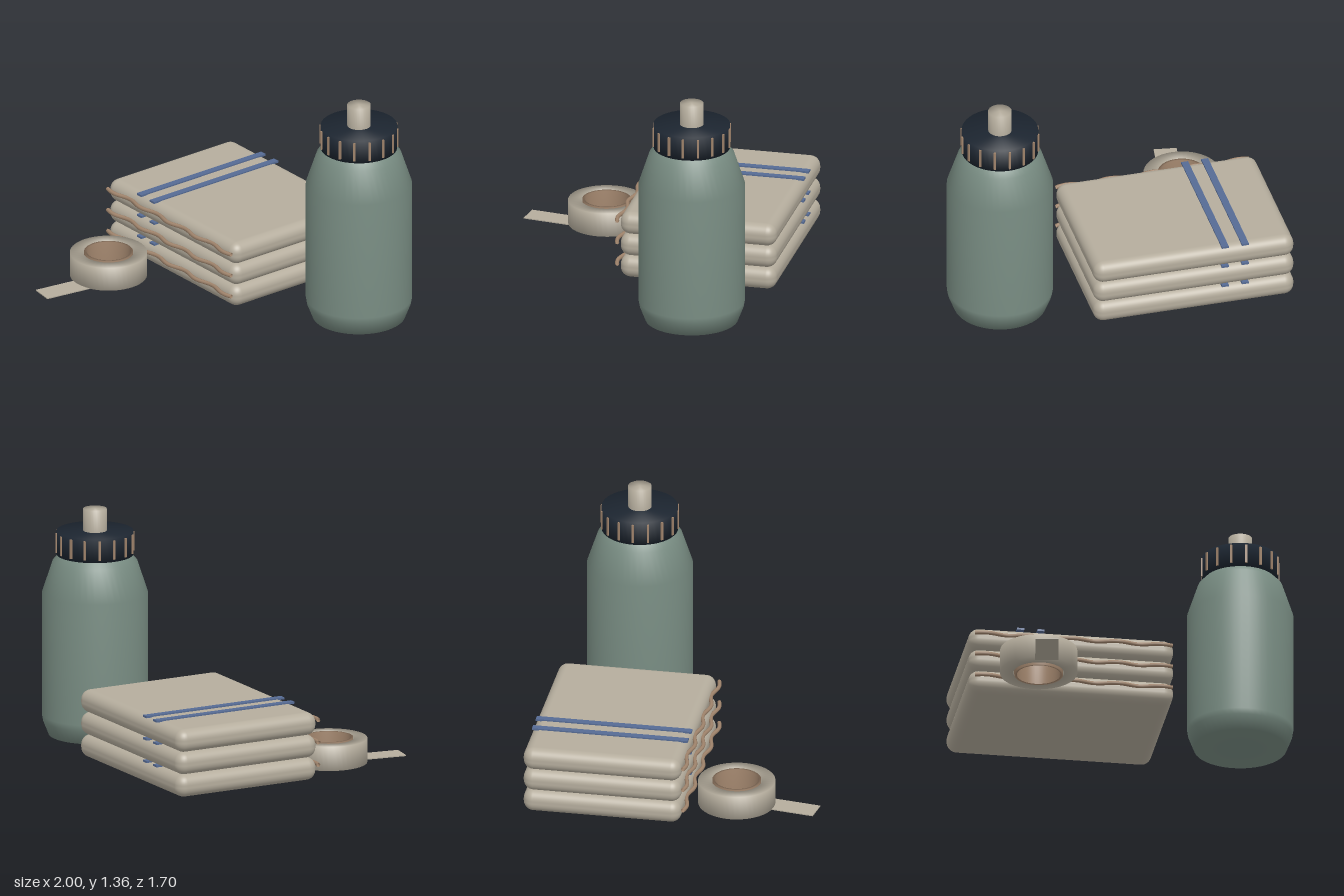
import * as THREE from 'three';
import { RoundedBoxGeometry } from 'three/addons/geometries/RoundedBoxGeometry.js';

const mat = (color) => new THREE.MeshStandardMaterial({ color, side: THREE.DoubleSide });
const cloth = mat(0xb5ad9d), sage = mat(0x788c82), navy = mat(0x1c2530);
const tan = mat(0xa0846c), blue = mat(0x566b94);

function add(parent, name, geometry, material, x = 0, y = 0, z = 0) {
  const mesh = new THREE.Mesh(geometry, material);
  mesh.name = name;
  mesh.position.set(x, y, z);
  parent.add(mesh);
  return mesh;
}

// Revolves [radius, height] pairs, listed from bottom to top
const lathe = (points, segments = 48) =>
  new THREE.LatheGeometry(points.map(([r, y]) => new THREE.Vector2(r, y)), segments);

function group(parent, name, x, z) {
  const g = new THREE.Group();
  g.name = name;
  g.position.set(x, 0, z);
  parent.add(g);
  return g;
}

function addBottle(model) {
  const bottle = group(model, 'bottle', 0.685, -0.465);
  add(bottle, 'bottleBody', lathe([
    [0, 0], [0.272, 0], [0.305, 0.085], [0.311, 0.12], [0.311, 0.85],
    [0.248, 1.04], [0.205, 1.085], [0.19, 1.1],
  ]), sage);
  add(bottle, 'cap', lathe([
    [0, 1.08], [0.224, 1.08], [0.224, 1.223], [0, 1.223],
  ]), navy);
  add(bottle, 'spout', lathe([
    [0.069, 1.21], [0.069, 1.355], [0, 1.355],
  ], 32), cloth);

  // Grip ribs around the cap
  const rib = new THREE.BoxGeometry(0.013, 0.115, 0.018);
  for (let i = 0; i < 16; i++) {
    const a = (i / 16) * Math.PI * 2;
    const mesh = add(bottle, 'capRib', rib, tan, Math.sin(a) * 0.223, 1.153, Math.cos(a) * 0.223);
    mesh.rotation.y = a;
  }
}

function addTowels(model) {
  const towels = group(model, 'towelStack', -0.395, -0.383);
  const body = new RoundedBoxGeometry(1.21, 0.136, 0.937, 5, 0.06);
  const stripe = new THREE.BoxGeometry(0.042, 0.012, 0.925);

  // Wavy hem along the front edge
  const wave = [];
  for (let i = 0; i <= 40; i++) {
    const t = i / 40;
    wave.push(new THREE.Vector3(-0.575 + 1.165 * t, 0, 0.481 + 0.012 * Math.sin(t * Math.PI * 9)));
  }
  const hem = new THREE.TubeGeometry(new THREE.CatmullRomCurve3(wave), 100, 0.012, 8);

  for (let i = 0; i < 3; i++) {
    const y = 0.083 + i * 0.135;
    add(towels, 'foldedTowel', body, cloth, 0, y, 0);
    add(towels, 'towelHem', hem, tan, 0, y + 0.017, 0);
    for (const x of [-0.303, -0.182]) add(towels, 'towelStripe', stripe, blue, x, y + 0.07, 0);
  }
}

function addTape(model) {
  const tape = group(model, 'tapeRoll', -0.635, 0.357);
  add(tape, 'tapeWinding', lathe([
    [0.148, 0.015], [0.226, 0.015], [0.226, 0.16], [0.148, 0.16], [0.148, 0.015],
  ]), cloth);
  add(tape, 'tapeCore', lathe([
    [0.128, 0.004], [0.143, 0.004], [0.143, 0.165], [0.128, 0.165], [0.128, 0.004],
  ]), tan);
  // Loose end lying on the ground
  const tail = add(tape, 'tapeTail', new THREE.BoxGeometry(0.135, 0.006, 0.29), cloth, -0.004, 0.014, 0.335);
  tail.rotation.y = -0.15;
}

export function createModel() {
  const model = new THREE.Group();
  model.name = 'gymKit';
  addBottle(model);
  addTowels(model);
  addTape(model);
  return model;
}
